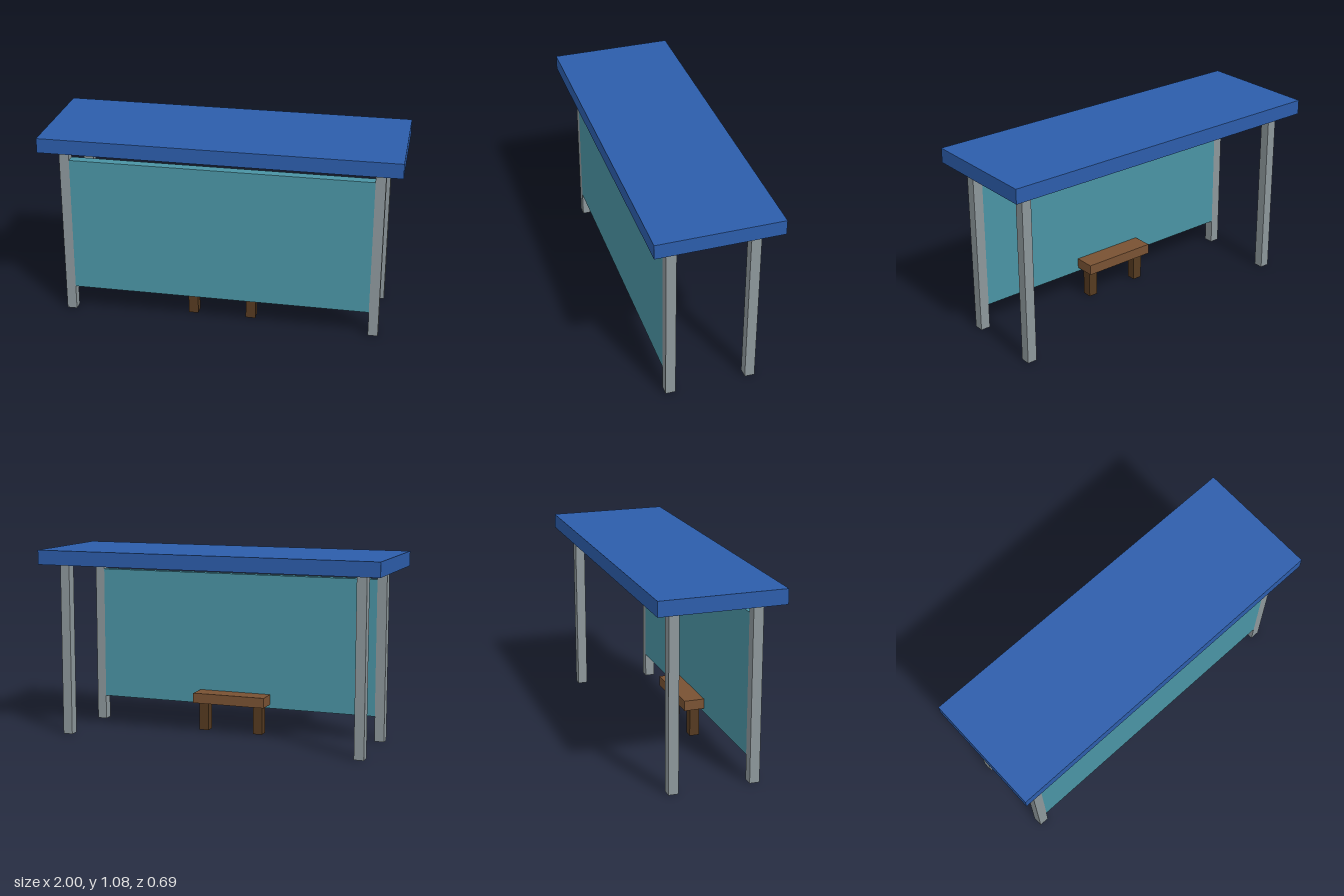
import * as THREE from 'three';

const material = (name, color) =>
  new THREE.MeshStandardMaterial({ name, color, side: THREE.DoubleSide });

// Thin-walled box with an open underside, given by its lower and upper limits
function openBox(name, mat, [x0, x1], [y0, y1], [z0, z1]) {
  const geometry = new THREE.BoxGeometry(x1 - x0, y1 - y0, z1 - z0);
  const index = Array.from(geometry.index.array);
  index.splice(18, 6); // drop the bottom face
  geometry.setIndex(index);
  geometry.clearGroups();
  const mesh = new THREE.Mesh(geometry, mat);
  mesh.name = name;
  mesh.position.set((x0 + x1) / 2, (y0 + y1) / 2, (z0 + z1) / 2);
  return mesh;
}

export function createModel() {
  const blue = material('roofBlue', 0x2c5dab);
  const grey = material('postGrey', 0x8d979b);
  const teal = material('panelTeal', 0x4a94a4);
  const brown = material('seatBrown', 0x795233);
  const darkBrown = material('legBrown', 0x553a20);

  const shelter = new THREE.Group();
  shelter.name = 'shelter';

  // Hollow roof
  shelter.add(openBox('roof', blue, [-1, 1], [1, 1.083], [-0.346, 0.346]));

  // Four corner posts
  const around = (center, half) => [center - half, center + half];
  for (const z of [0.227, -0.227]) {
    for (const x of [0.878, -0.878]) {
      const name = (z > 0 ? 'front' : 'back') + (x > 0 ? 'Left' : 'Right') + 'Post';
      shelter.add(openBox(name, grey, around(x, 0.028), [0, 1], around(z, 0.028)));
    }
  }

  // Wall panel between the front posts
  shelter.add(openBox('wallPanel', teal, [-0.85, 0.85], [0.145, 0.93], [0.199, 0.255]));

  // Bench behind the panel
  const bench = new THREE.Group();
  bench.name = 'bench';
  bench.add(openBox('seat', brown, [-0.22, 0.22], [0.168, 0.227], [0.08, 0.198]));
  for (const x of [0.168, -0.168]) {
    const name = x > 0 ? 'leftLeg' : 'rightLeg';
    bench.add(openBox(name, darkBrown, around(x, 0.028), [0, 0.168], around(0.15, 0.028)));
  }
  shelter.add(bench);

  return shelter;
}
